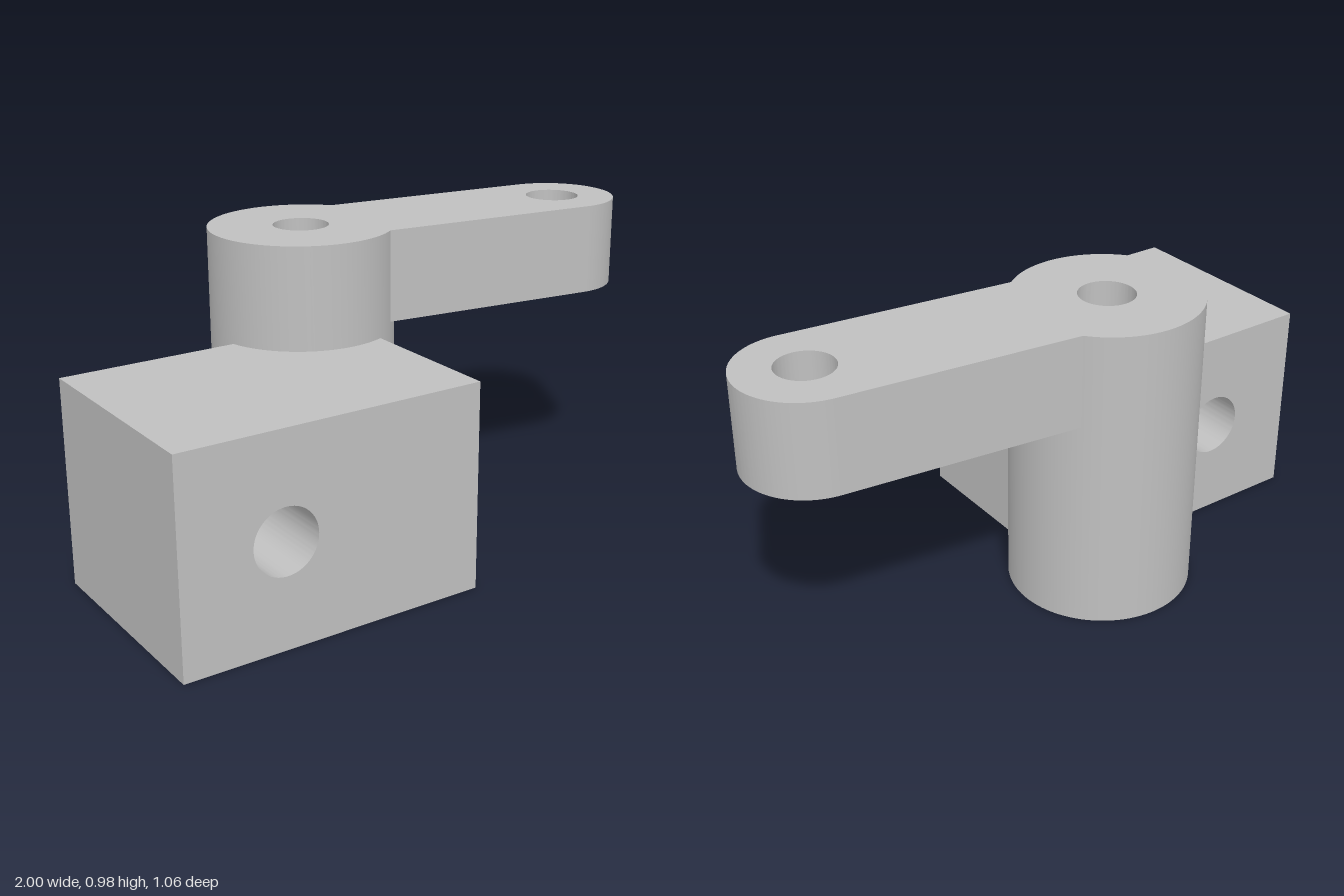
import * as THREE from 'three';
import { mergeGeometries, toCreasedNormals } from 'three/addons/utils/BufferGeometryUtils.js';

const POST = { x: -0.147, z: -0.238, r: 0.293 };
const BORE = 0.088;
const TOP = 0.975;
const JOINT = POST.r - 0.002; // mating arcs sink slightly into the post

function circle(PathType, x, y, r) {
  return new PathType().absarc(x, y, r, 0, Math.PI * 2, false);
}

function extrude(shape, depth) {
  return new THREE.ExtrudeGeometry(shape, { depth, bevelEnabled: false, curveSegments: 48 });
}

// Extrudes a plan outline (x, -z) upward
function extrudeUp(shape, depth) {
  return extrude(shape, depth).rotateX(-Math.PI / 2);
}

export function createModel() {
  const group = new THREE.Group();
  const grey = new THREE.MeshStandardMaterial({ color: 0xc0c0c0 });
  grey.name = 'grey';

  function add(name, geometry) {
    const mesh = new THREE.Mesh(toCreasedNormals(geometry, 0.5), grey);
    mesh.name = name;
    group.add(mesh);
    return mesh;
  }

  // Upright post with a bore through its full height
  const post = circle(THREE.Shape, 0, 0, POST.r);
  post.holes.push(circle(THREE.Path, 0, 0, BORE));
  add('post', extrudeUp(post, TOP)).position.set(POST.x, 0, POST.z);

  // Block: drilled front to back on the left, scooped out around the post on the right
  const left = -1, split = -0.5, right = -0.03, back = -0.176, front = 0.53, height = 0.65;
  const drilled = new THREE.Shape();
  drilled.moveTo(left, 0).lineTo(split, 0).lineTo(split, height).lineTo(left, height).closePath();
  drilled.holes.push(circle(THREE.Path, -0.677, 0.325, 0.102));

  const dx = right - POST.x, dz = back - POST.z;
  const startAngle = -Math.acos(dx / JOINT);
  const endAngle = -Math.PI + Math.asin(dz / JOINT);
  const scooped = new THREE.Shape();
  scooped.moveTo(split, -back).lineTo(split, -front).lineTo(right, -front);
  scooped.absarc(POST.x, -POST.z, JOINT, startAngle, endAngle, true);
  scooped.closePath();
  add('block', mergeGeometries([
    extrude(drilled, front - back).translate(0, 0, back),
    extrudeUp(scooped, height),
  ]));

  // Lever arm with a rounded, bored end, running out from the post
  const endX = 0.793, endZ = -0.13, endR = 0.207, bottom = 0.682;
  const length = Math.hypot(endX - POST.x, endZ - POST.z);
  const a = Math.asin(endR / JOINT);
  const arm = new THREE.Shape();
  arm.absarc(length, 0, endR, -Math.PI / 2, Math.PI / 2, false);
  arm.absarc(0, 0, JOINT, a, -a, true);
  arm.closePath();
  arm.holes.push(circle(THREE.Path, length, 0, BORE));
  const lever = add('leverArm', extrudeUp(arm, TOP - bottom));
  lever.position.set(POST.x, bottom, POST.z);
  lever.rotation.y = -Math.atan2(endZ - POST.z, endX - POST.x);

  return group;
}
